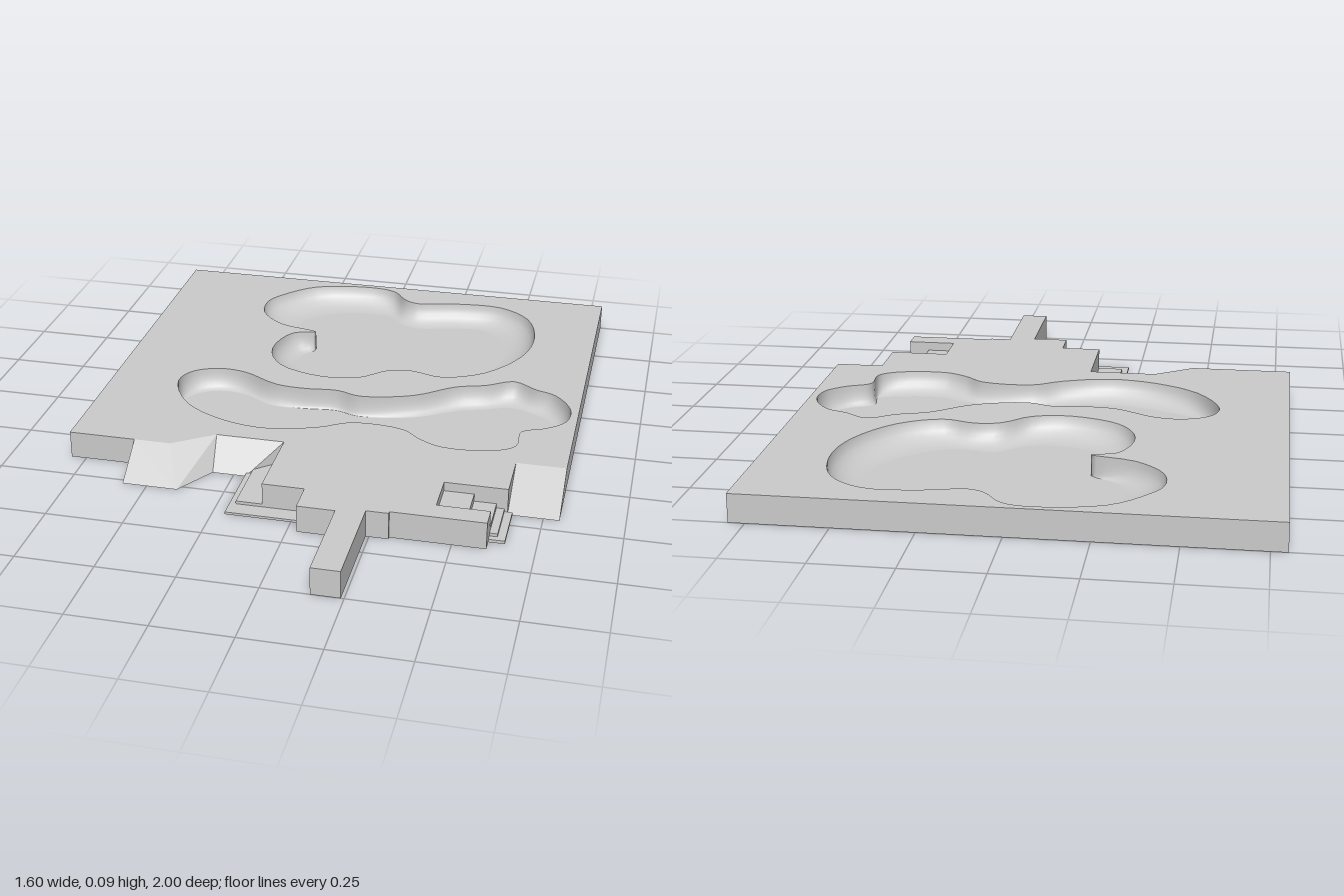
import * as THREE from 'three';
import { ConvexGeometry } from 'three/addons/geometries/ConvexGeometry.js';

const TOP = 0.09, FLOOR = 0.02;
const mat = new THREE.MeshStandardMaterial({ color: 0xcccccc });

// Shapes are drawn in plan: (x, z) becomes (x, -z), then laid flat
const plan = (pts) => pts.map(([x, z]) => new THREE.Vector2(x, -z));
const layFlat = (geo, y = 0) => geo.rotateX(-Math.PI / 2).translate(0, y, 0);

function add(group, name, geo) {
  const mesh = new THREE.Mesh(geo, mat);
  mesh.name = name;
  group.add(mesh);
}

// Smooth closed outline through a few plan points
function outline(pts, n) {
  const curve = new THREE.CatmullRomCurve3(pts.map(([x, z]) => new THREE.Vector3(x, 0, z)), true, 'centripetal');
  return Array.from({ length: n }, (_, i) => {
    const p = curve.getPoint(i / n);
    return [p.x, p.z];
  });
}

// Bowl wall curving from the rim outline down to the floor outline
function bowlWall(rim, base, rows = 6) {
  const n = rim.length, pos = [], idx = [];
  for (let r = 0; r <= rows; r++) {
    const a = (r / rows) * Math.PI / 2, s = 1 - Math.cos(a);
    const y = TOP - (TOP - FLOOR) * Math.sin(a);
    for (let i = 0; i < n; i++) {
      pos.push(rim[i][0] + (base[i][0] - rim[i][0]) * s, y, rim[i][1] + (base[i][1] - rim[i][1]) * s);
      if (r < rows) {
        const j = (i + 1) % n, p = r * n + i, q = r * n + j;
        idx.push(p, p + n, q, q, p + n, q + n);
      }
    }
  }
  const geo = new THREE.BufferGeometry();
  geo.setAttribute('position', new THREE.Float32BufferAttribute(pos, 3));
  geo.setIndex(idx);
  geo.computeVertexNormals();
  return geo;
}

// Wedge with a high edge against the plate and a low edge on the ground
function wedge(high, low) {
  const v = (y) => ([x, z]) => new THREE.Vector3(x, y, z);
  return new ConvexGeometry([...high.map(v(TOP)), ...high.map(v(0)), ...low.map(v(0))]);
}

// Box on the ground given by its plan limits and height
function slab(x0, x1, z0, z1, h) {
  return new THREE.BoxGeometry(x1 - x0, h, z1 - z0).translate((x0 + x1) / 2, h / 2, (z0 + z1) / 2);
}

// Each basin: rim points, then matching floor points
const basins = {
  largeBasin: {
    rim: [[-.44, -.77], [-.40, -.84], [-.29, -.94], [-.08, -.98], [.01, -.96], [.07, -.89], [.12, -.87], [.27, -.90],
      [.43, -.90], [.54, -.82], [.585, -.66], [.56, -.50], [.45, -.34], [.31, -.275], [.20, -.30], [.12, -.285],
      [.03, -.21], [-.10, -.19], [-.26, -.25], [-.32, -.37], [-.28, -.51], [-.20, -.54], [-.34, -.58], [-.43, -.67]],
    base: [[-.31, -.74], [-.29, -.79], [-.18, -.87], [-.06, -.89], [.01, -.885], [.07, -.82], [.135, -.80], [.27, -.83],
      [.37, -.835], [.45, -.77], [.485, -.66], [.46, -.53], [.37, -.42], [.28, -.365], [.20, -.36], [.135, -.375],
      [.03, -.30], [-.08, -.29], [-.18, -.32], [-.24, -.40], [-.235, -.48], [-.20, -.535], [-.28, -.59], [-.32, -.67]],
  },
  longBasin: {
    rim: [[-.57, -.05], [-.54, -.13], [-.45, -.17], [-.36, -.16], [-.235, -.095], [-.13, -.085], [-.02, -.095],
      [.065, -.07], [.24, -.115], [.37, -.21], [.47, -.245], [.56, -.295], [.64, -.25], [.71, -.22],
      [.77, -.13], [.765, -.04], [.705, .02], [.63, .06], [.625, .16], [.56, .205], [.40, .22],
      [.32, .185], [.25, .13], [.08, .12], [-.02, .175], [-.18, .22], [-.34, .195], [-.49, .105]],
    base: [[-.55, -.04], [-.515, -.10], [-.45, -.135], [-.36, -.13], [-.245, -.07], [-.13, -.07], [-.02, -.08],
      [.065, -.055], [.25, -.09], [.385, -.17], [.47, -.20], [.56, -.23], [.63, -.21], [.69, -.17],
      [.735, -.11], [.73, -.04], [.69, 0], [.615, .04], [.62, .11], [.58, .135], [.41, .155],
      [.33, .12], [.25, .10], [.08, .085], [-.05, .13], [-.21, .145], [-.37, .105], [-.50, .035]],
  },
};

export function createModel() {
  const group = new THREE.Group();

  // Ground plate with its stepped front edge and pier
  const edge = plan([[-.8, -1], [.8, -1], [.8, .27], [.64, .27], [.64, .44], [.44, .44], [.44, .58], [.605, .58],
    [.605, .65], [.31, .65], [.31, .66], [.24, .66], [.24, 1], [.15, 1], [.15, .68], [.03, .68], [.03, .575],
    [-.105, .575], [-.105, .3], [-.33, .3], [-.46, .39], [-.8, .39]]);
  const plate = new THREE.Shape(edge);

  // Basins sunk into the plate
  for (const [name, { rim, base }] of Object.entries(basins)) {
    const n = rim.length * 4;
    const top = outline(rim, n), bottom = outline(base, n);
    plate.holes.push(new THREE.Path(plan(top)));
    add(group, name + 'Wall', bowlWall(top, bottom));
    add(group, name + 'Floor', layFlat(new THREE.ShapeGeometry(new THREE.Shape(plan(bottom))), FLOOR));
  }
  add(group, 'groundPlate', layFlat(new THREE.ExtrudeGeometry(plate, { depth: TOP, bevelEnabled: false })));

  // Closed underside
  const under = layFlat(new THREE.ShapeGeometry(new THREE.Shape(edge))).rotateZ(Math.PI).scale(-1, 1, 1);
  under.setIndex(Array.from(under.index.array).reverse());
  under.computeVertexNormals();
  // Reversed winding after mirroring would face up, so turn it down again when needed
  if (under.attributes.normal.getY(0) > 0) {
    under.setIndex(Array.from(under.index.array).reverse());
    under.computeVertexNormals();
  }
  add(group, 'underside', under);

  // Sloping banks
  add(group, 'outerBank', wedge([[-.58, .39], [-.46, .39]], [[-.58, .52], [-.4, .52]]));
  add(group, 'cornerBank', wedge([[-.46, .39], [-.33, .3]], [[-.32, .39], [-.4, .52]]));
  add(group, 'innerBank', wedge([[-.33, .3], [-.105, .3]], [[-.32, .39], [-.21, .39]]));
  add(group, 'sideBank', wedge([[.64, .27], [.8, .27]], [[.64, .44], [.8, .44]]));

  // Low ledges beside the right-hand wall
  add(group, 'lowerLedge', slab(-.21, .03, .38, .63, .008));
  add(group, 'upperLedge', slab(-.19, -.105, .3, .575, .018));

  // Steps climbing into the notch on the other side
  const steps = [[.6, .655, .61, .01], [.6, .63, .59, .02], [.535, .605, .58, .035], [.44, .535, .58, .06]];
  steps.forEach(([x0, x1, z1, h], i) => add(group, 'step' + (i + 1), slab(x0, x1, .44, z1, h)));

  return group;
}
